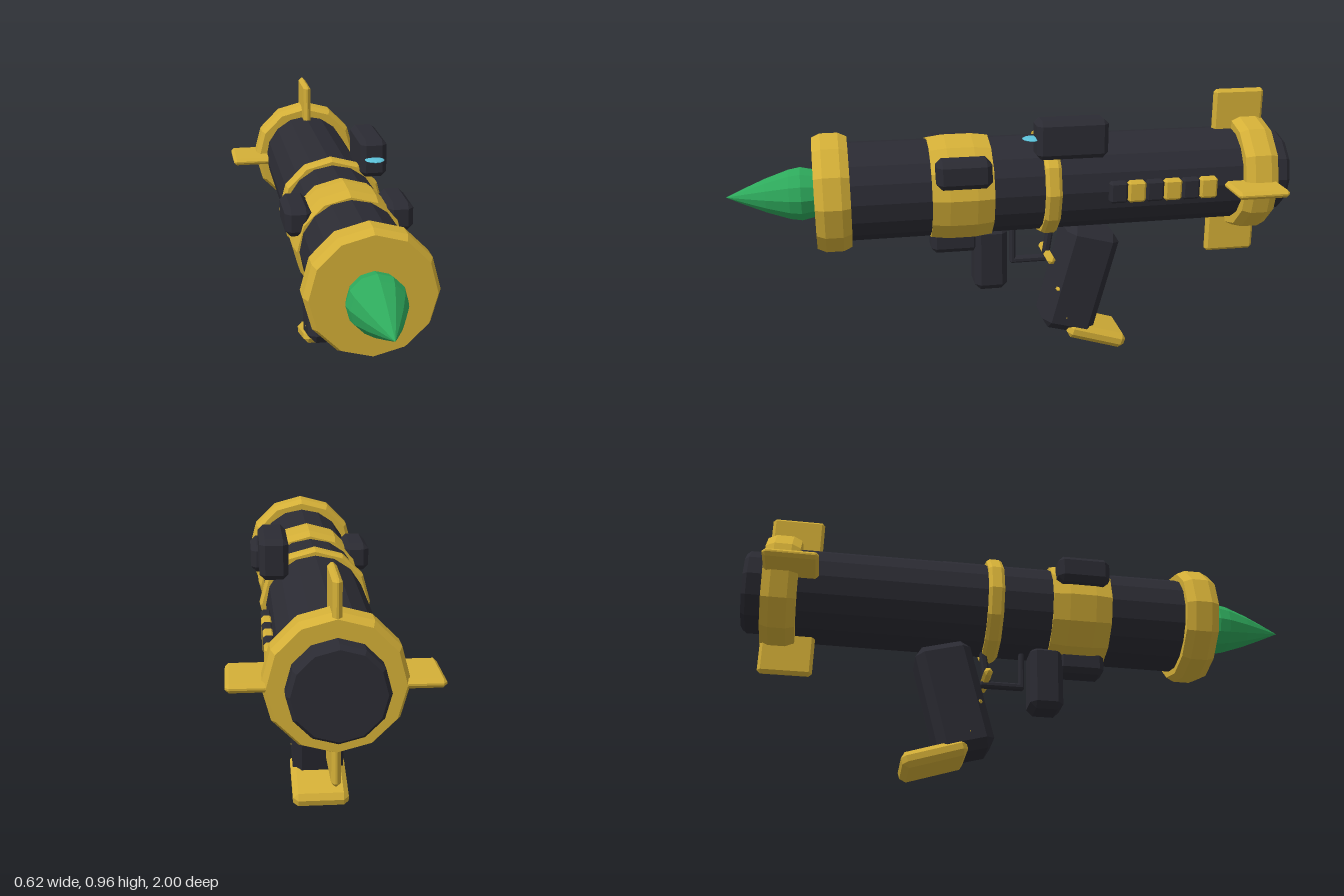
import * as THREE from 'three';
import { ConvexGeometry } from 'three/addons/geometries/ConvexGeometry.js';

const AXIS_Y = 0.65;

function material(name, color) {
  const m = new THREE.MeshStandardMaterial({ color });
  m.name = name;
  m.flatShading = true;
  return m;
}

// Box with every edge cut at 45 degrees by c
function chamferBox(w, h, d, c) {
  const pts = [];
  for (const x of [-1, 1]) for (const y of [-1, 1]) for (const z of [-1, 1]) {
    const a = w / 2, b = h / 2, e = d / 2;
    pts.push(
      new THREE.Vector3(x * a, y * (b - c), z * (e - c)),
      new THREE.Vector3(x * (a - c), y * b, z * (e - c)),
      new THREE.Vector3(x * (a - c), y * (b - c), z * e));
  }
  return new ConvexGeometry(pts);
}

export function createModel() {
  const model = new THREE.Group();
  model.name = 'rocketLauncher';
  const black = material('gunmetal', 0x2b2b33);
  const gold = material('gold', 0xd4af37);
  const green = material('warheadGreen', 0x2eaa5c);
  const cyan = material('lensCyan', 0x5bc0d8);

  function add(name, geometry, mat, x = 0, y = 0, z = 0, tilt = 0) {
    const mesh = new THREE.Mesh(geometry, mat);
    mesh.name = name;
    mesh.position.set(x, y, z);
    mesh.rotation.x = tilt;
    model.add(mesh);
    return mesh;
  }
  // Turned part along the barrel axis; profile is [radius, z], rear to front
  function turned(name, profile, mat, sides = 12) {
    const g = new THREE.LatheGeometry(profile.map(p => new THREE.Vector2(...p)), sides);
    return add(name, g.rotateX(Math.PI / 2), mat, 0, AXIS_Y, 0);
  }
  // Closed ring with bevelled rims
  const ring = (name, z0, z1, r, bevel, rim, mat) => turned(name,
    [[0, z0], [r - bevel, z0], [r, z0 + rim], [r, z1 - rim], [r - bevel, z1], [0, z1]], mat);

  // Barrel and its bands
  turned('barrel', [[0, -0.9], [0.168, -0.9], [0.174, 0.62], [0, 0.62]], black, 16);
  ring('muzzleRing', 0.58, 0.70, 0.212, 0.014, 0.03, gold);
  ring('middleBand', 0.09, 0.305, 0.189, 0.008, 0.06, gold);
  ring('thinBand', -0.145, -0.088, 0.192, 0.008, 0.012, gold);
  ring('rearRing', -0.93, -0.81, 0.212, 0.014, 0.03, gold);
  ring('rearCap', -1.0, -0.92, 0.147, 0.012, 0.015, black);

  // Warhead
  turned('warhead', [[0, 0.68], [0.083, 0.69], [0.095, 0.745], [0.088, 0.785],
    [0.06, 0.865], [0.03, 0.935], [0, 1.0]], green);

  // Four tail fins
  for (let i = 0; i < 4; i++) {
    const g = chamferBox(0.028, 0.16, 0.188, 0.011);
    g.translate(0, 0.231, 0).rotateZ(i * Math.PI / 2);
    add('tailFin', g, gold, 0, AXIS_Y, -0.834);
  }

  // Side pods on the middle band
  for (const s of [-1, 1])
    add('sidePod', chamferBox(0.09, 0.1, 0.19, 0.02), black, s * 0.171, 0.745, 0.197);

  // Sight and lens
  add('sight', chamferBox(0.095, 0.137, 0.25, 0.018), black, 0.147, 0.847, -0.178);
  const lens = add('sightLens', new THREE.SphereGeometry(0.036, 12, 6), cyan, 0.146, 0.848, -0.044);
  lens.scale.set(1, 0.18, 1);

  // Row of alternating blocks on the left flank
  for (let i = 0; i < 6; i++)
    add(i % 2 ? 'goldBlock' : 'blackBlock', chamferBox(0.035, 0.076, 0.064, 0.008),
      i % 2 ? gold : black, 0.177, 0.65, -0.345 - i * 0.0655);

  // Fore grip with its mount
  add('foreGrip', chamferBox(0.125, 0.24, 0.12, 0.022), black, 0, 0.38, 0.086);
  add('foreGripMount', chamferBox(0.1, 0.1, 0.17, 0.018), black, 0, 0.46, 0.215);

  // Trigger guard and trigger
  add('guardFront', chamferBox(0.03, 0.15, 0.02, 0.006), black, 0, 0.42, 0.0);
  add('guardBottom', chamferBox(0.03, 0.022, 0.16, 0.006), black, 0, 0.353, -0.07);
  add('trigger', chamferBox(0.03, 0.13, 0.025, 0.006), black, 0, 0.415, -0.132, -0.15);

  // Rear grip with tilted foot plate
  add('rearGrip', chamferBox(0.178, 0.41, 0.2, 0.03), black, 0, 0.275, -0.245, -0.26);
  add('gripFoot', chamferBox(0.192, 0.058, 0.23, 0.018), gold, 0, 0.055, -0.308, -0.3);

  // Gold cross pin and grip studs, pointed at both ends
  const pins = [[0.016, 0.37, -0.13], [0.009, 0.255, -0.158], [0.008, 0.14, -0.19]];
  for (const [r, y, z] of pins) {
    const profile = [[0, -0.094], [r, -0.08], [r, 0.08], [0, 0.094]];
    const g = new THREE.LatheGeometry(profile.map(p => new THREE.Vector2(...p)), 6);
    add('gripPin', g.rotateZ(Math.PI / 2), gold, 0, y, z);
  }
  return model;
}
